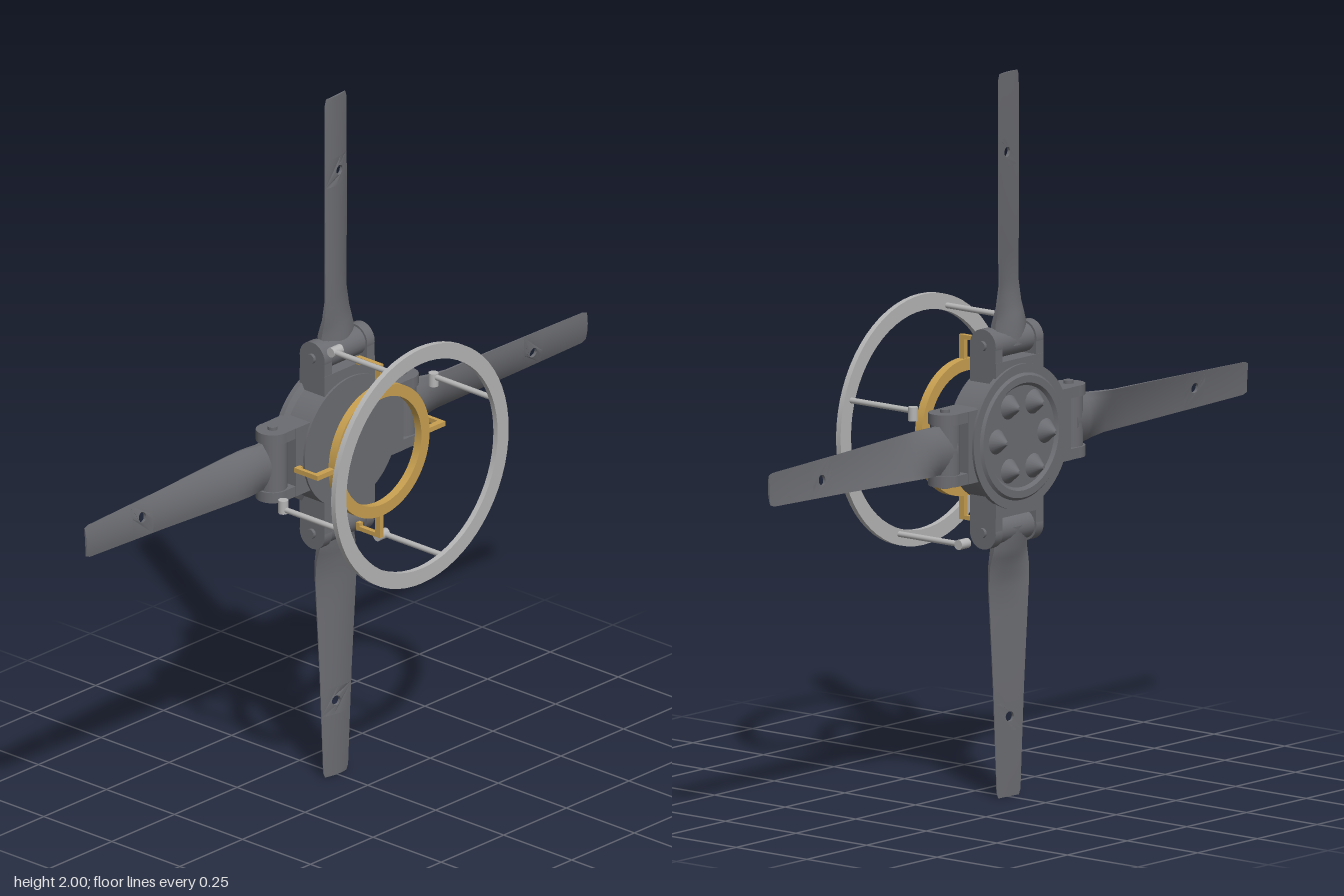
import * as THREE from 'three';
import { toCreasedNormals } from 'three/addons/utils/BufferGeometryUtils.js';

const dark = new THREE.MeshStandardMaterial({ color: 0x6b6c71 });
dark.name = 'dark grey';
const light = new THREE.MeshStandardMaterial({ color: 0xb5b5b5 });
light.name = 'light grey';
const gold = new THREE.MeshStandardMaterial({ color: 0xc8a050 });
gold.name = 'gold';

function add(parent, name, geometry, material, x = 0, y = 0, z = 0) {
  const mesh = new THREE.Mesh(geometry, material);
  mesh.name = name;
  mesh.position.set(x, y, z);
  parent.add(mesh);
  return mesh;
}

const box = (w, h, d) => new THREE.BoxGeometry(w, h, d);
const rodX = (r, l, n = 24) => new THREE.CylinderGeometry(r, r, l, n).rotateZ(Math.PI / 2);
const rodZ = (r, l, n = 16) => new THREE.CylinderGeometry(r, r, l, n).rotateX(Math.PI / 2);

// Turned part around the z axis; profile of [radius, z] from back to front
function turned(profile) {
  const points = profile.map(([r, z]) => new THREE.Vector2(r, z));
  const g = new THREE.LatheGeometry(points, 64).rotateX(Math.PI / 2);
  return toCreasedNormals(g, 0.4);
}

const ring = (inner, outer, back, front) => turned([
  [inner, back], [outer, back], [outer, front], [inner, front], [inner, back],
]);

// Blade stations: radius, half width, thickness, twist, camber
const STATIONS = [
  [0.25, 0.068, 0.070, 0, 0],
  [0.31, 0.066, 0.060, 0.03, 0],
  [0.36, 0.066, 0.036, 0.22, 0.005],
  [0.42, 0.064, 0.017, 0.30, 0.009],
  [0.70, 0.054, 0.010, 0.17, 0.006],
  [0.985, 0.046, 0.006, 0.07, 0.003],
  [1.00, 0.040, 0.006, 0.06, 0.003],
];

// Point on the blade: u across (-1..1), r along, s through (-1 back, 1 front)
function bladePoint(u, r, s) {
  let i = 0;
  while (i < STATIONS.length - 2 && r > STATIONS[i + 1][0]) i++;
  const a = STATIONS[i], b = STATIONS[i + 1];
  const k = (r - a[0]) / (b[0] - a[0]);
  const [, w, t, twist, camber] = a.map((v, j) => v + (b[j] - v) * k);
  const x = u * w;
  const z = s * t / 2 * (1 - 0.75 * u * u) + camber * (1 - u * u);
  return [
    x * Math.cos(twist) + z * Math.sin(twist), r,
    z * Math.cos(twist) - x * Math.sin(twist),
  ];
}

// Closed loft through the given radii
function bladeLoft(radii) {
  const n = 8, loop = 2 * (n + 1), pos = [], idx = [];
  for (const r of radii) {
    for (let j = 0; j <= n; j++) pos.push(...bladePoint(-1 + 2 * j / n, r, 1));
    for (let j = 0; j <= n; j++) pos.push(...bladePoint(1 - 2 * j / n, r, -1));
  }
  const end = (radii.length - 1) * loop;
  const rootMid = pos.length / 3, tipMid = rootMid + 1;
  pos.push(...bladePoint(0, radii[0], 0), ...bladePoint(0, radii.at(-1), 0));
  for (let j = 0; j < loop; j++) {
    const k = (j + 1) % loop;
    for (let o = 0; o < end; o += loop) {
      idx.push(o + j, o + k, o + loop + k, o + j, o + loop + k, o + loop + j);
    }
    idx.push(rootMid, k, j, tipMid, end + j, end + k);
  }
  const g = new THREE.BufferGeometry();
  g.setAttribute('position', new THREE.Float32BufferAttribute(pos, 3));
  g.setIndex(idx);
  return toCreasedNormals(g, 0.5);
}

// Short stretch of blade pierced by a round hole
function bladeHoleSection(r0, r1) {
  const pts = [], n = 8, half = 0.05;
  for (let j = 0; j <= n; j++) pts.push(new THREE.Vector2(half * (-1 + 2 * j / n), r0));
  for (let j = 0; j <= n; j++) pts.push(new THREE.Vector2(half * (1 - 2 * j / n), r1));
  const shape = new THREE.Shape(pts);
  shape.holes.push(new THREE.Path().absarc(0.005, 0.78, 0.014, 0, Math.PI * 2, true));
  const g = new THREE.ExtrudeGeometry(shape, { depth: 1, bevelEnabled: false, curveSegments: 10 });
  const p = g.attributes.position;
  for (let i = 0; i < p.count; i++) {
    p.setXYZ(i, ...bladePoint(p.getX(i) / half, p.getY(i), p.getZ(i) * 2 - 1));
  }
  return toCreasedNormals(g, 0.5);
}

function makeHub() {
  const hub = new THREE.Group();
  hub.name = 'hub';
  add(hub, 'hubBody', turned([
    [0, -0.163], [0.14, -0.163], [0.148, -0.172], [0.168, -0.172], [0.175, -0.165],
    [0.2, -0.165], [0.2, -0.15], [0.186, -0.14], [0.186, -0.06],
    [0.025, -0.06], [0.025, -0.075], [0, -0.075],
  ]), dark);
  // Ring of conical studs on the back
  for (let k = 0; k < 6; k++) {
    const a = k * Math.PI / 3;
    const stud = new THREE.CylinderGeometry(0.034, 0.005, 0.037, 20).rotateX(Math.PI / 2);
    add(hub, 'backStud', stud, dark, 0.102 * Math.cos(a), 0.102 * Math.sin(a), -0.1815);
  }
  return hub;
}

// Hinged arm with its blade, pointing up
function makeArm() {
  const arm = new THREE.Group();
  arm.name = 'arm';
  add(arm, 'armBlock', box(0.2, 0.12, 0.092), dark, 0, 0.155, -0.112);
  for (const side of [-1, 1]) {
    add(arm, 'hingeLug', box(0.03, 0.06, 0.09), dark, side * 0.085, 0.232, -0.112);
    add(arm, 'hingeLugEnd', rodX(0.046, 0.03), dark, side * 0.085, 0.258, -0.112);
    add(arm, 'hingePin', rodX(0.014, 0.01, 12), dark, side * 0.104, 0.258, -0.112);
  }
  add(arm, 'hingeBarrel', rodX(0.04, 0.14), dark, 0, 0.258, -0.112);
  const blade = new THREE.Group();
  blade.name = 'blade';
  blade.position.z = -0.118;
  add(blade, 'bladeInner', bladeLoft([0.25, 0.31, 0.335, 0.36, 0.39, 0.42, 0.5, 0.6, 0.7, 0.74]), dark);
  add(blade, 'bladeHoleSection', bladeHoleSection(0.74, 0.82), dark);
  add(blade, 'bladeTip', bladeLoft([0.82, 0.9, 0.985, 1]), dark);
  arm.add(blade);
  return arm;
}

// Support post of the front ring with its foot
function makePost() {
  const post = new THREE.Group();
  post.name = 'ringPost';
  add(post, 'postRod', rodZ(0.008, 0.22), light, -0.1, 0.3, 0.08);
  add(post, 'postFoot', rodX(0.014, 0.038, 16), light, -0.092, 0.3, -0.034);
  return post;
}

// Gold spoke with a hook reaching back to the arm
function makeHook() {
  const hook = new THREE.Group();
  hook.name = 'goldHook';
  add(hook, 'spoke', box(0.014, 0.072, 0.018), gold, 0, 0.219, 0.042);
  add(hook, 'hookBar', box(0.014, 0.012, 0.086), gold, 0, 0.249, 0.008);
  add(hook, 'hookTip', box(0.014, 0.022, 0.012), gold, 0, 0.244, -0.03);
  return hook;
}

export function createModel() {
  const model = new THREE.Group();
  model.name = 'rotor';
  const rotor = new THREE.Group();
  rotor.name = 'rotorAssembly';
  rotor.position.y = 1;
  model.add(rotor);

  rotor.add(makeHub());
  add(rotor, 'frontRing', ring(0.302, 0.346, 0.184, 0.2), light);
  add(rotor, 'goldRing', ring(0.156, 0.189, 0.03, 0.054), gold);
  for (let k = 0; k < 4; k++) {
    for (const part of [makeArm(), makePost(), makeHook()]) {
      part.rotation.z = -k * Math.PI / 2;
      rotor.add(part);
    }
  }
  return model;
}
